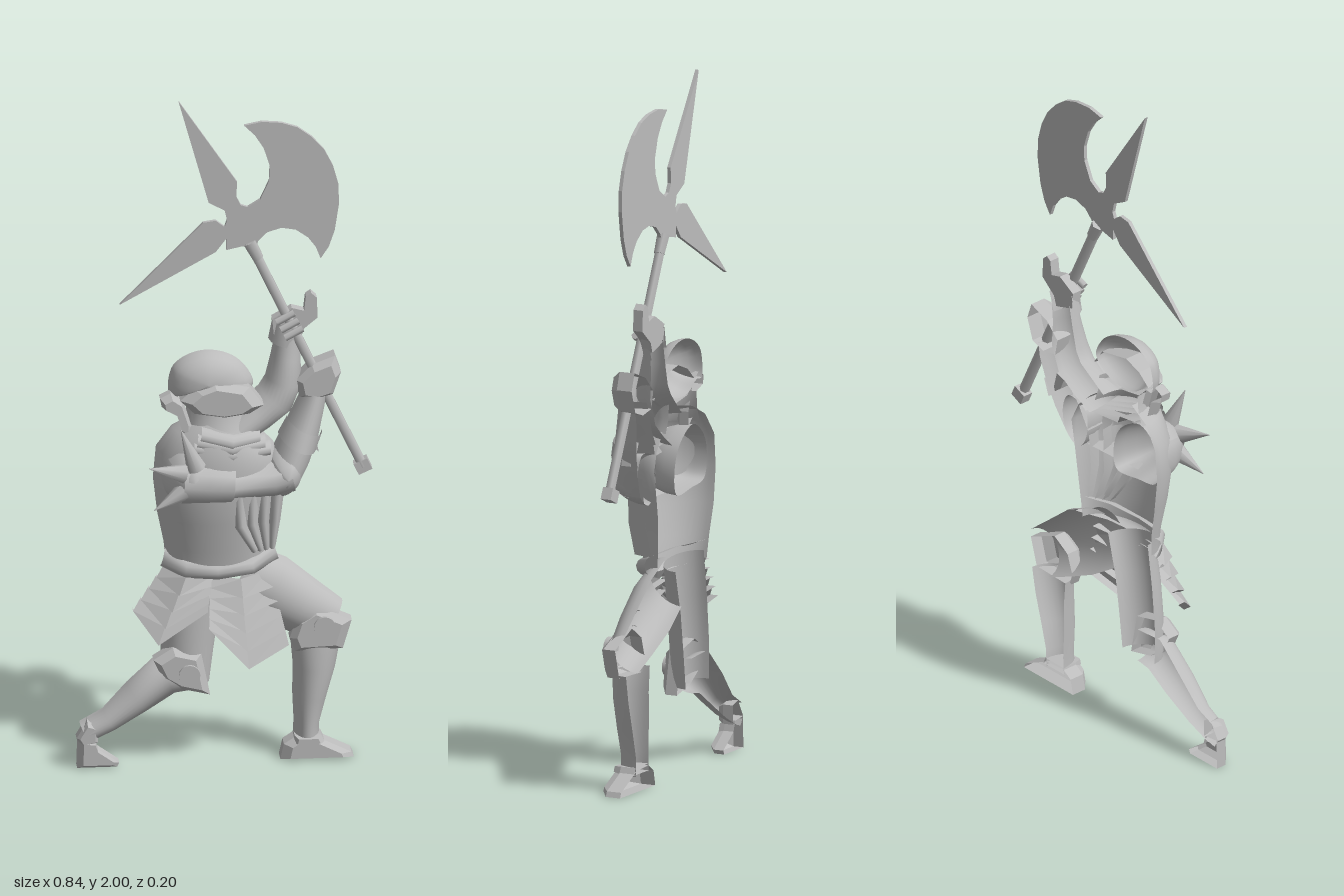
import * as THREE from 'three';

const steel = new THREE.MeshStandardMaterial({ color: 0xbcbcbc, side: THREE.DoubleSide });
steel.name = 'steel';

export function createModel() {
  const model = new THREE.Group();
  const add = (name, geo) => {
    const m = new THREE.Mesh(geo, steel);
    m.name = name;
    model.add(m);
    return m;
  };
  const grid = (rows, flat = false) => { // surface through equal rows of points
    const n = rows[0].length, idx = [];
    for (let i = 0; i < rows.length - 1; i++) for (let j = 0; j < n - 1; j++) {
      const a = i * n + j, b = a + n;
      idx.push(a, a + 1, b, b, a + 1, b + 1);
    }
    let g = new THREE.BufferGeometry();
    g.setAttribute('position', new THREE.Float32BufferAttribute(rows.flat(2), 3));
    g.setIndex(idx);
    if (flat) g = g.toNonIndexed();
    g.computeVertexNormals();
    return g;
  };
  // half-round limb with an open back; stations are [x, y, halfWidth, zBack, zFront]
  const limb = (name, st, seg = 14) => {
    const rows = st.map(([x, y, w, zb, zf], i) => {
      const a = st[Math.max(0, i - 1)], b = st[Math.min(st.length - 1, i + 1)];
      const l = Math.hypot(b[0] - a[0], b[1] - a[1]) || 1;
      const nx = -(b[1] - a[1]) / l, ny = (b[0] - a[0]) / l;
      return Array.from({ length: seg + 1 }, (_, j) => {
        const t = Math.PI * j / seg, c = Math.cos(t) * w;
        return [x + nx * c, y + ny * c, zb + (zf - zb) * Math.sin(t)];
      });
    });
    add(name, grid(rows));
  };
  const centre = pts => [0, 1].map(k => pts.reduce((s, p) => s + p[k], 0) / pts.length);
  // domed relief over an outline
  const dome = (name, pts, zb, zf, rings = 6) => {
    const o = new THREE.CatmullRomCurve3(pts.map(p => new THREE.Vector3(p[0], p[1], 0)), true).getPoints(40);
    const [cx, cy] = centre(pts), rows = [];
    for (let i = 0; i <= rings; i++) {
      const t = Math.PI / 2 * i / rings, c = Math.cos(t);
      rows.push(o.map(p => [cx + (p.x - cx) * c, cy + (p.y - cy) * c, zb + (zf - zb) * Math.sin(t)]));
    }
    add(name, grid(rows));
  };
  // faceted armour cup with walls, a bevelled front and an open back
  const cup = (name, pts, zb, zf) => {
    const [cx, cy] = centre(pts), o = [...pts, pts[0]];
    const row = (s, z) => o.map(p => [cx + (p[0] - cx) * s, cy + (p[1] - cy) * s, z]);
    const m = zb + (zf - zb) * .65;
    add(name, grid([row(1, zb), row(1, m), row(.72, zf), row(0, zf)], true));
  };
  // straight-sided plate
  const plate = (name, pts, zb, zf) => {
    const s = new THREE.Shape(pts.map(p => new THREE.Vector2(...p)));
    add(name, new THREE.ExtrudeGeometry(s, { depth: zf - zb, bevelEnabled: false }).translate(0, 0, zb));
  };
  const rod = (name, a, b, r0, r1, sides = 8) => {
    const A = new THREE.Vector3(...a), B = new THREE.Vector3(...b), d = B.clone().sub(A);
    const m = add(name, new THREE.CylinderGeometry(r1, r0, d.length(), sides));
    m.position.copy(A).add(B).multiplyScalar(0.5);
    m.quaternion.setFromUnitVectors(new THREE.Vector3(0, 1, 0), d.normalize());
  };

  // Axe: crescent blade, two spikes and hub in one outline
  plate('axeHead', [
    [-.125, 1.995], [.04, 1.745], [.038, 1.7], [.05, 1.675], [.07, 1.668], [.105, 1.69], [.13, 1.745], [.132, 1.79],
    [.115, 1.845], [.09, 1.885], [.06, 1.915], [.11, 1.925], [.165, 1.92], [.21, 1.905], [.25, 1.875],
    [.285, 1.835], [.31, 1.785], [.325, 1.73], [.327, 1.67], [.315, 1.59], [.298, 1.54], [.275, 1.505],
    [.262, 1.54], [.24, 1.57], [.205, 1.595], [.165, 1.602], [.125, 1.59], [.1, 1.565], [.09, 1.54],
    [.055, 1.55], [.01, 1.54], [.01, 1.575], [-.02, 1.535], [-.29, 1.385], [-.055, 1.625], [-.02, 1.63],
    [.005, 1.61], [.012, 1.63], [.005, 1.66], [-.04, 1.685]], -.064, -.053);
  rod('axeShaft', [.395, .87, -.06], [.075, 1.56, -.06], .015, .015, 6);
  rod('axeSocket', [.1, 1.51, -.06], [.075, 1.56, -.06], .017, .02, 6);
  const pommel = add('axePommel', new THREE.BoxGeometry(.042, .035, .032));
  pommel.position.set(.394, .872, -.063);
  pommel.rotation.z = .43;

  // Helmet, visor and neck
  dome('helmetSkull', [[-.15, 1.11], [-.145, 1.185], [-.11, 1.22], [-.05, 1.238], [.015, 1.225], [.06, 1.19],
    [.085, 1.13], [.02, 1.08], [-.07, 1.08], [-.12, 1.11]], -.06, .015);
  cup('visor', [[-.125, 1.11], [-.085, 1.145], [-.03, 1.165], [.07, 1.145], [.11, 1.09], [.07, 1.065],
    [0, 1.055], [-.085, 1.07]], -.05, .03);
  limb('neck', [[-.02, .99, .1, -.07, .03], [-.02, 1.03, .085, -.07, .01], [-.02, 1.08, .08, -.07, .005]]);
  cup('neckGuard', [[-.18, 1.11], [-.15, 1.125], [-.115, 1.1], [-.09, 1.02], [-.09, .98], [-.115, 1],
    [-.135, 1.07], [-.175, 1.085]], -.05, -.005);

  // Breastplate and collar
  limb('breastplate', [[-.015, .59, .145, -.07, .02], [-.015, .66, .15, -.075, .03], [-.02, .75, .163, -.08, .05],
    [-.02, .84, .175, -.08, .065], [-.01, .92, .178, -.08, .065], [0, .98, .145, -.075, .055],
    [.01, 1.02, .09, -.07, .03]], 24);
  for (let i = 0; i < 3; i++)
    limb('collarPlate', [[-.09 + i * .01, .975 + i * .018, .022, .01, .045], [.02, .955 + i * .018, .024, .035, .06],
      [.13 - i * .015, .95 + i * .018, .02, -.03, .01]], 6);

  // Fanned rib plates on the left side
  for (let i = 0; i < 4; i++) {
    const t = i / 3;
    limb('ribPlate', [[.035 + t * .12, .86 + t * .02, .026, .01 - t * .06, .06 - t * .05],
      [.04 + t * .1, .74, .023, .005 - t * .055, .055 - t * .04],
      [.085 + t * .05, .65, .013, -.02 - t * .04, .02 - t * .02]], 5);
  }

  // Waist band
  limb('belt', [[-.17, .615, .03, -.07, -.04], [-.11, .6, .028, -.01, .025], [-.02, .595, .026, .005, .035],
    [.08, .605, .028, -.015, .025], [.15, .625, .03, -.07, -.04]], 6);

  // Layered chevron hip guards: left edge, centre and right edge each run from top to bottom
  const mix = (a, b, t) => a.map((v, i) => v + (b[i] - v) * t);
  const hipGuard = (name, l, c, r, count, dl, dr) => {
    for (let i = count - 1; i >= 0; i--) {
      const t0 = i / count, t1 = (i + 1) / count, z = .015 + .02 * t0;
      const row = (t, dz) => [[...mix(...l, t), z - dl + dz], [...mix(...c, t), z + dz], [...mix(...r, t), z - dr + dz]];
      add(name, grid([row(t0, 0), row(t1, .02)], true));
      add(name + 'Edge', grid([row(t1, .02), row(t1, -.005)], true));
    }
  };
  hipGuard('rightHipGuard', [[-.165, .59], [-.255, .465]], [[-.11, .58], [-.19, .39]], [[-.035, .575], [-.05, .48]], 4, .08, .015);
  hipGuard('leftHipGuard', [[-.04, .575], [-.045, .425]], [[.045, .57], [.065, .31]], [[.13, .58], [.18, .365]], 5, .02, .035);

  // Right leg, bent and trailing
  limb('rightThigh', [[-.06, .6, .085, -.07, .0], [-.085, .47, .078, -.07, .005], [-.1, .34, .075, -.07, .005], [-.105, .24, .068, -.07, 0]]);
  cup('rightKnee', [[-.2, .325], [-.145, .36], [-.065, .34], [-.04, .215], [-.12, .235], [-.175, .27]], -.04, .016);
  limb('rightShin', [[-.09, .265, .05, -.06, .005], [-.16, .265, .062, -.06, .01], [-.24, .2, .05, -.06, .01],
    [-.32, .135, .035, -.055, .002], [-.39, .1, .033, -.05, 0]]);
  cup('rightAnkle', [[-.415, .09], [-.385, .14], [-.355, .13], [-.355, .075], [-.4, .065]], -.048, 0);
  cup('rightFoot', [[-.41, .09], [-.365, .085], [-.355, .055], [-.295, .012], [-.3, 0], [-.413, 0]], -.05, -.002);

  // Left leg, forward
  limb('leftThigh', [[.04, .56, .09, -.075, 0], [.13, .51, .098, -.08, .005], [.22, .45, .085, -.08, 0], [.3, .4, .072, -.08, -.015]]);
  cup('leftKnee', [[.205, .43], [.26, .465], [.36, .42], [.335, .335], [.2, .33], [.185, .37]], -.06, -.003);
  limb('leftShin', [[.262, .345, .07, -.08, -.008], [.258, .27, .06, -.08, -.005], [.245, .18, .048, -.08, -.008],
    [.237, .1, .036, -.08, -.015], [.235, .045, .037, -.08, -.015]]);
  cup('leftFoot', [[.16, 0], [.17, .045], [.2, .065], [.27, .06], [.36, .015], [.367, 0]], -.08, -.01);
  cup('leftAnkle', [[.195, .05], [.2, .07], [.275, .07], [.285, .05]], -.08, -.008);
  for (const [name, x, y, z] of [['rightKneeBoss', -.1, .285, .015], ['leftKneeBoss', .282, .41, -.005]]) {
    const b = add(name, new THREE.CylinderGeometry(.03, .03, .018, 16));
    b.rotation.x = Math.PI / 2;
    b.position.set(x, y, z);
  }

  // Right arm across the chest, gripping the lower shaft
  dome('rightShoulder', [[-.165, .94], [-.1, .985], [-.02, .94], [.01, .87], [0, .8], [-.09, .805], [-.165, .82],
    [-.18, .88]], -.06, .09);
  const spikes = [[[-.12, .915, .065], [-.22, .945, .093]], [[-.12, .86, .06], [-.205, .815, .085]],
    [[-.085, .93, .06], [-.13, 1.055, .083]]];
  for (const [a, b] of spikes) rod('shoulderSpike', a, b, .028, .001, 8);
  limb('rightUpperArm', [[-.12, .88, .078, -.02, .09], [-.05, .875, .075, -.02, .1], [.02, .87, .07, -.02, .098],
    [.025, .865, .06, -.03, .075], [.14, .865, .056, -.04, .06], [.19, .875, .055, -.04, .055]], 6);
  dome('rightElbow', [[.13, .93], [.2, .95], [.225, .9], [.21, .83], [.16, .8], [.125, .85]], -.06, .055);
  limb('rightForearm', [[.165, .85, .05, -.06, .045], [.195, .92, .055, -.07, .035], [.225, .99, .05, -.08, .01],
    [.25, 1.06, .04, -.09, -.01], [.262, 1.1, .034, -.09, -.02]]);
  limb('rightCuff', [[.21, .95, .058, -.08, .03], [.232, 1.0, .054, -.08, .012]]);
  plate('elbowFin', [[.22, .99], [.25, 1.0], [.268, .93], [.235, .955]], -.06, -.03);
  cup('rightHand', [[.215, 1.09], [.205, 1.14], [.25, 1.185], [.315, 1.21], [.332, 1.16], [.31, 1.095], [.265, 1.08]], -.098, -.025);

  // Left arm raised, gripping below the axe head
  limb('leftUpperArm', [[.05, 1.0, .05, -.09, 0], [.1, 1.035, .055, -.095, -.01], [.15, 1.075, .058, -.1, -.02],
    [.175, 1.13, .053, -.1, -.025], [.18, 1.2, .042, -.1, -.04], [.19, 1.27, .038, -.1, -.05]]);
  limb('leftCuff', [[.175, 1.24, .045, -.1, -.045], [.19, 1.3, .048, -.1, -.045]], 6);
  plate('leftHand', [[.145, 1.27], [.14, 1.32], [.195, 1.352], [.23, 1.342], [.235, 1.385], [.25, 1.395], [.266, 1.38],
    [.268, 1.32], [.22, 1.28], [.21, 1.25]], -.098, -.068);
  for (let i = 0; i < 3; i++)
    rod('leftFinger', [.15 + i * .012, 1.32 - i * .024, -.045], [.2 + i * .012, 1.345 - i * .024, -.05], .011, .011, 6);

  return model;
}
